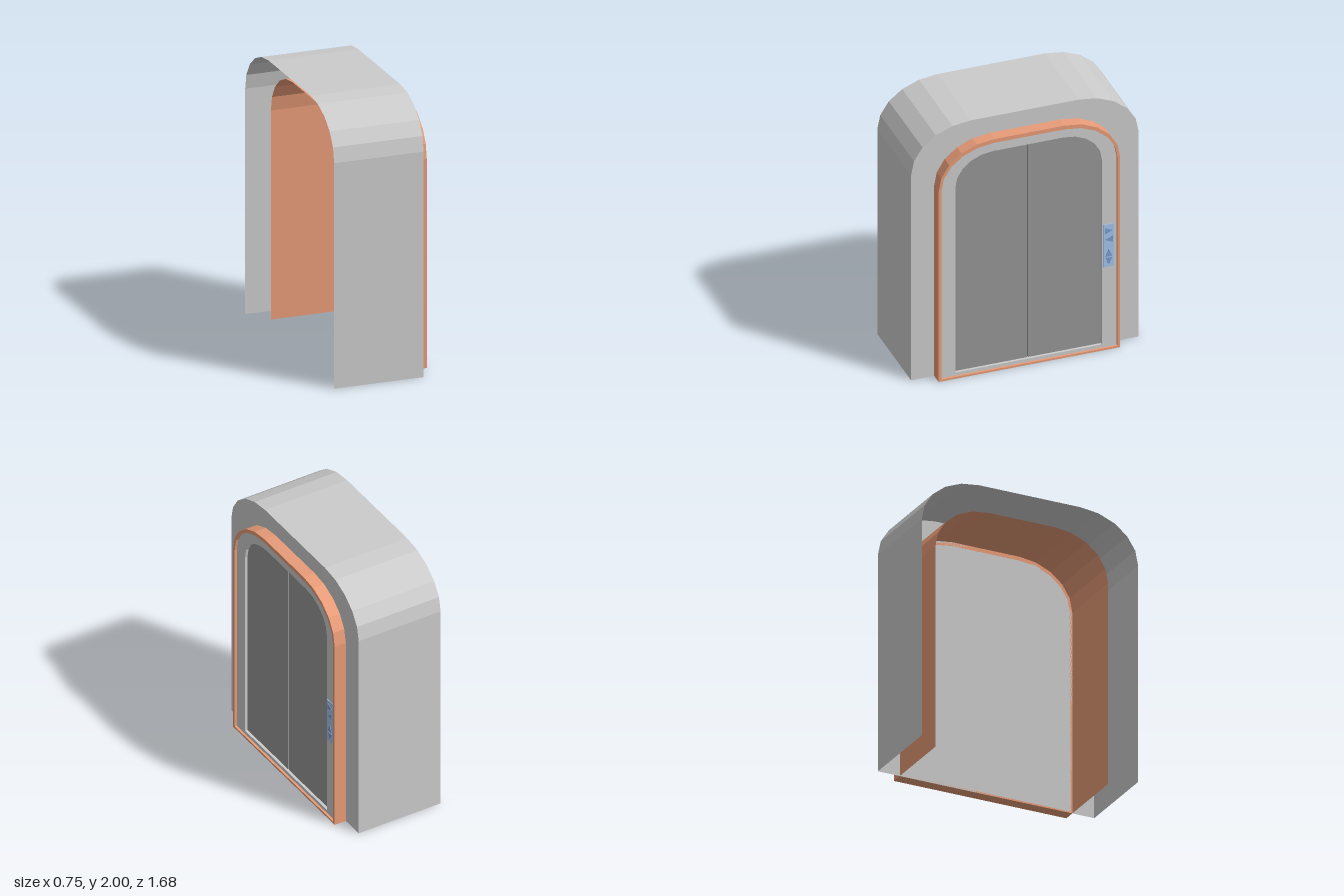
import * as THREE from 'three';

const material = (color) => new THREE.MeshStandardMaterial({ color, flatShading: true, side: THREE.DoubleSide });

// Arch outline, open at the bottom: straight jambs and five-sided elliptical corners
function archPoints(half, top, flat, spring, bottom) {
  const right = [[half, bottom]];
  for (let i = 0; i <= 5; i++) {
    const a = (i / 5) * Math.PI / 2;
    right.push([flat + (half - flat) * Math.cos(a), spring + (top - spring) * Math.sin(a)]);
  }
  const left = right.map(([s, y]) => [-s, y]).reverse();
  return [...right, ...left].map(([s, y]) => new THREE.Vector2(s, y));
}

// Sheet following an arch between two depths
function archSheet(points, x0, x1) {
  const pos = [], index = [];
  points.forEach((p, i) => {
    pos.push(x0, p.y, -p.x, x1, p.y, -p.x);
    if (i) index.push(2 * i - 2, 2 * i, 2 * i - 1, 2 * i - 1, 2 * i, 2 * i + 1);
  });
  const g = new THREE.BufferGeometry();
  g.setAttribute('position', new THREE.Float32BufferAttribute(pos, 3));
  g.setIndex(index);
  const flat = g.toNonIndexed();
  flat.computeVertexNormals();
  return flat;
}

// Slab cut from an outline facing +x, between two depths
function slab(points, x0, x1, hole) {
  const shape = new THREE.Shape(points);
  if (hole) shape.holes.push(new THREE.Path(hole));
  const g = new THREE.ExtrudeGeometry(shape, { depth: x1 - x0, bevelEnabled: false });
  return g.translate(0, 0, x0).rotateY(Math.PI / 2);
}

export function createModel() {
  const group = new THREE.Group();
  const grey = material(0xcccccc);
  const doorGrey = material(0x969696);
  const copper = material(0xe89c78);
  const dark = material(0x222222);
  const blue = material(0xa4c4ec);
  const arrowBlue = material(0x7a9ccb);
  const add = (name, geometry, mat) => {
    const mesh = new THREE.Mesh(geometry, mat);
    mesh.name = name;
    group.add(mesh);
    return mesh;
  };

  const outer = archPoints(0.84, 2, 0.395, 1.65, 0);
  const rimOuter = archPoints(0.67, 1.87, 0.26, 1.53, 0);
  const rimInner = archPoints(0.65, 1.84, 0.26, 1.53, 0.015);
  const doorway = archPoints(0.54, 1.765, 0.26, 1.53, 0.04);

  // Housing, open at the back and underneath
  add('housingShell', archSheet(outer, -0.378, 0.287), grey);
  add('frontWall', new THREE.ShapeGeometry(new THREE.Shape(outer)).rotateY(Math.PI / 2).translate(0.287, 0, 0), grey);

  // Coloured lining and projecting rim
  add('innerLining', archSheet(rimOuter, -0.254, 0.287), copper);
  add('doorRim', slab(rimOuter, 0.287, 0.377, rimInner), copper);

  // Surround and the pair of sliding doors
  add('doorSurround', slab(rimInner, 0.288, 0.36, doorway), grey);
  add('doorGap', new THREE.BoxGeometry(0.01, 1.725, 0.02).translate(0.3, 0.9025, 0), dark);
  const half = doorway.filter((p) => p.x > 0);
  for (const side of [1, -1]) {
    const leaf = [new THREE.Vector2(side * 0.004, 0.04),
      ...half.map((p) => new THREE.Vector2(side * p.x, p.y)),
      new THREE.Vector2(side * 0.004, 1.765)];
    add(side > 0 ? 'rightDoor' : 'leftDoor', slab(leaf, 0.29, 0.34), doorGrey);
  }

  // Call panel with four arrow buttons
  add('callPanel', new THREE.BoxGeometry(0.006, 0.34, 0.08).translate(0.362, 0.83, -0.59), blue);
  const arrows = [[0.95, -Math.PI / 2], [0.88, Math.PI / 2], [0.772, 0], [0.706, Math.PI]];
  for (const [y, turn] of arrows) {
    const points = [[-0.025, -0.028], [0.025, -0.028], [0, 0.028]].map(([a, b]) =>
      new THREE.Vector2(a, b).rotateAround(new THREE.Vector2(), turn).add(new THREE.Vector2(0.59, y)));
    add('arrowButton', slab(points, 0.364, 0.369), arrowBlue);
  }
  return group;
}
